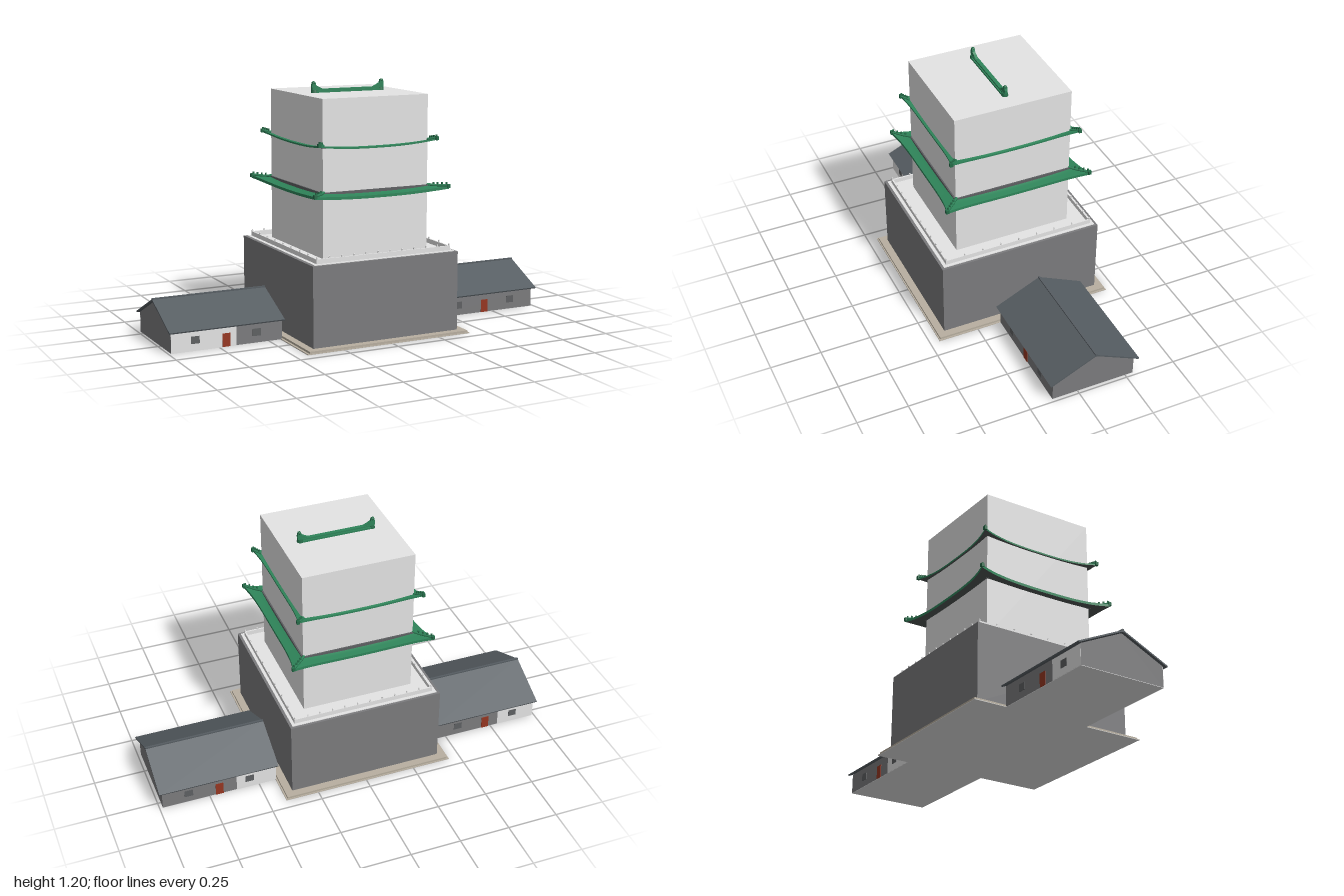
import * as THREE from 'three';
import { mergeGeometries } from 'three/addons/utils/BufferGeometryUtils.js';

const mat = (name, color, side = THREE.FrontSide) => {
  const m = new THREE.MeshStandardMaterial({ color, side });
  m.name = name;
  return m;
};

export function createModel() {
  const root = new THREE.Group();
  root.name = 'gateTower';
  const stone = mat('grey stone', 0x7b7b7d);
  const pale = mat('pale plaster', 0xe4e4e4);
  const beige = mat('beige paving', 0xb8afa0);
  const slate = mat('slate roof', 0x565d62);
  const green = mat('green glaze', 0x2f855a, THREE.DoubleSide);
  const darkGreen = mat('dark green glaze', 0x256b48);
  const under = mat('dark eave underside', 0x505654, THREE.DoubleSide);
  const red = mat('red door', 0x963620);
  const glass = mat('window grey', 0x5e6062);

  const add = (parent, name, geo, material) => {
    const m = new THREE.Mesh(geo, material);
    m.name = name;
    parent.add(m);
    return m;
  };
  // box given by its minimum and maximum corners
  const boxGeo = (x0, x1, y0, y1, z0, z1) =>
    new THREE.BoxGeometry(x1 - x0, y1 - y0, z1 - z0).translate((x0 + x1) / 2, (y0 + y1) / 2, (z0 + z1) / 2);
  const box = (parent, name, material, ...c) => add(parent, name, boxGeo(...c), material);

  // Plinth and masonry base
  box(root, 'foundation', pale, -0.441, 0.415, 0, 0.002, -0.453, 0.453);
  box(root, 'lowerPaving', beige, -0.441, 0.415, 0.002, 0.005, -0.453, 0.453);
  box(root, 'plinth', beige, -0.43, 0.407, 0.005, 0.015, -0.447, 0.447);
  box(root, 'base', stone, -0.394, 0.37, 0.015, 0.4, -0.41, 0.41);

  // Terrace with parapet and posts
  const X0 = -0.363, X1 = 0.343, Z = 0.382, T = 0.008;
  box(root, 'terraceFloor', pale, X0 - 0.018, X1 + 0.015, 0.4, 0.403, -Z - 0.016, Z + 0.016);
  const rail = [
    boxGeo(X0, X1, 0.403, 0.425, Z - T, Z), boxGeo(X0, X1, 0.403, 0.425, -Z, -Z + T),
    boxGeo(X0, X0 + T, 0.403, 0.425, -Z + T, Z - T), boxGeo(X1 - T, X1, 0.403, 0.425, -Z + T, Z - T),
  ];
  add(root, 'parapet', mergeGeometries(rail), pale);
  const posts = [];
  const post = (x, z) => posts.push(
    boxGeo(x - 0.003, x + 0.003, 0.403, 0.431, z - 0.003, z + 0.003),
    new THREE.SphereGeometry(0.004, 6, 4).translate(x, 0.433, z));
  for (let i = 0; i <= 11; i++) {
    const x = X0 + T / 2 + (X1 - X0 - T) * i / 11;
    post(x, Z - T / 2);
    post(x, -Z + T / 2);
  }
  for (let i = 1; i < 8; i++) {
    const z = (Z - T / 2) * (i / 4 - 1);
    post(X0 + T / 2, z);
    post(X1 - T / 2, z);
  }
  add(root, 'parapetPosts', mergeGeometries(posts), pale);

  // Tower block
  const HX = 0.276, HZ = 0.294;
  const tower = new THREE.Group();
  tower.name = 'tower';
  tower.position.x = -0.012;
  root.add(tower);
  box(tower, 'towerBlock', pale, -HX, HX, 0.4, 1.148, -HZ, HZ);

  // Skirt roof: four curved sides that lift and spread toward the corners
  const skirt = (name, o) => {
    const group = new THREE.Group();
    group.name = name;
    tower.add(group);
    // t runs along the side, s from wall to eave
    const point = (side, t, s, drop = 0) => {
      const along = side % 2 ? HZ : HX, out = side % 2 ? HX : HZ;
      const e = Math.abs(t) ** 2.6;
      const over = o.mid + (o.corner - o.mid) * Math.abs(t) ** 4;
      const a = t * (along + s * o.corner), b = out - 0.004 * (1 - s) + s * over;
      const y = o.wallY + (o.eaveY - o.wallY) * Math.sqrt(s) + o.lift * e * (0.35 + 0.65 * s) - drop;
      return new THREE.Vector3(a, y, b).applyAxisAngle(new THREE.Vector3(0, 1, 0), side * Math.PI / 2);
    };
    const patch = (f, nu, nv) => {
      const pos = [], idx = [];
      for (let i = 0; i <= nu; i++)
        for (let j = 0; j <= nv; j++) pos.push(...f(i / nu * 2 - 1, j / nv).toArray());
      for (let i = 0; i < nu; i++)
        for (let j = 0; j < nv; j++) {
          const a = i * (nv + 1) + j, b = a + nv + 1;
          idx.push(a, a + 1, b, b, a + 1, b + 1);
        }
      const g = new THREE.BufferGeometry();
      g.setAttribute('position', new THREE.Float32BufferAttribute(pos, 3));
      g.setIndex(idx);
      g.computeVertexNormals();
      return g;
    };
    const four = f => mergeGeometries([0, 1, 2, 3].map(f));
    add(group, 'tiles', four(k => patch((t, s) => point(k, t, s), 24, 4)), green);
    add(group, 'eaveEdge', four(k => patch((t, s) => point(k, t, 1, s * o.thick), 24, 1)), green);
    add(group, 'eaveUnderside', four(k => patch((t, s) => point(k, t, s, o.thick), 24, 4)), under);

    // hip ridges and corner ornaments
    const hips = [], beads = [];
    for (let k = 0; k < 4; k++) {
      const curve = new THREE.CatmullRomCurve3([0, 0.35, 0.7, 1].map(s => point(k, 1, s, -0.003)));
      hips.push(new THREE.TubeGeometry(curve, 8, 0.007, 6));
      for (let i = 0; i < 4; i++) {
        const p = point(k, 1, 0.3 + i * 0.2);
        beads.push(new THREE.BoxGeometry(0.007, 0.012, 0.007).translate(p.x, p.y + 0.012, p.z));
      }
      const tip = point(k, 1, 0.97);
      beads.push(new THREE.BoxGeometry(0.015, 0.018, 0.015).translate(tip.x, tip.y, tip.z));
    }
    add(group, 'hipRidges', mergeGeometries(hips), green);
    add(group, 'cornerOrnaments', mergeGeometries(beads), darkGreen);
  };
  skirt('lowerRoof', { wallY: 0.706, eaveY: 0.694, lift: 0.018, mid: 0.05, corner: 0.076, thick: 0.013 });
  skirt('upperRoof', { wallY: 0.922, eaveY: 0.917, lift: 0.022, mid: 0.012, corner: 0.034, thick: 0.008 });
  // band of wall tiles above the lower roof
  box(tower, 'wallFlashing', glass, -HX - 0.007, HX + 0.007, 0.696, 0.715, -HZ - 0.007, HZ + 0.007);

  // Top ridge with upturned ends
  box(tower, 'topRidge', green, -0.17, 0.17, 1.148, 1.157, -0.015, 0.015);
  box(tower, 'topRidgeCap', green, -0.17, 0.17, 1.157, 1.165, -0.009, 0.009);
  const fin = new THREE.Shape([[0.13, 1.148], [0.19, 1.148], [0.193, 1.18], [0.188, 1.2], [0.175, 1.198],
    [0.171, 1.184], [0.158, 1.176], [0.13, 1.163]].map(p => new THREE.Vector2(...p)));
  for (const turn of [0, Math.PI]) {
    const end = new THREE.Group();
    end.name = 'ridgeEnd';
    end.rotation.y = turn;
    tower.add(end);
    add(end, 'ridgeFin', new THREE.ExtrudeGeometry(fin, { depth: 0.014, bevelEnabled: false }).translate(0, 0, -0.007), green);
    add(end, 'ridgeKnob', new THREE.SphereGeometry(0.009, 10, 8).translate(0.182, 1.194, 0), darkGreen);
    add(end, 'ridgeFoot', new THREE.CylinderGeometry(0.014, 0.017, 0.014, 12).translate(0.178, 1.155, 0), darkGreen);
  }

  // Side houses: gabled body, pitched roof, doors and windows on both long walls
  const house = (name, h) => {
    const g = new THREE.Group();
    g.name = name;
    root.add(g);
    const w = h.half - 0.018;
    const gable = new THREE.Shape([[-w, 0.002], [w, 0.002], [w, 0.1], [0, 0.2], [-w, 0.1]].map(p => new THREE.Vector2(...p)));
    add(g, 'houseBody', new THREE.ExtrudeGeometry(gable, { depth: h.w1 - h.w0, bevelEnabled: false })
      .rotateY(Math.PI / 2).translate(h.w0, 0, h.z), stone);
    box(g, 'houseFloor', pale, h.w0, h.w1, 0, 0.002, h.z - w, h.z + w);
    const rise = 0.108, len = Math.hypot(h.half, rise), tilt = Math.atan2(rise, h.half);
    for (const s of [-1, 1]) {
      const slab = add(g, 'roofSlope', new THREE.BoxGeometry(h.r1 - h.r0, 0.007, len), slate);
      slab.rotation.x = s * tilt;
      slab.position.set((h.r0 + h.r1) / 2, 0.099 + rise / 2, h.z + s * h.half / 2);
      const plate = (part, m, x0, x1, y0, y1, d) => {
        const a = h.z + s * w, b = a + s * d;
        box(g, part, m, x0, x1, y0, y1, Math.min(a, b), Math.max(a, b));
      };
      const plaster = s > 0 ? h.frontPlaster : h.backPlaster;
      if (plaster) plate('plasterPanel', pale, h.w0, h.w0 + plaster, 0.002, 0.098, 0.001);
      plate('door', red, h.door - 0.019, h.door + 0.019, 0.002, 0.066, 0.003);
      for (const dx of [-0.153, 0.153])
        plate('window', glass, h.door + dx - 0.021, h.door + dx + 0.021, 0.035, 0.07, 0.003);
    }
    box(g, 'houseRidge', slate, h.r0, h.r1, 0.2, 0.215, h.z - 0.005, h.z + 0.005);
  };
  house('westHouse', { r0: -1, r1: -0.427, w0: -0.988, w1: -0.434, z: -0.07, half: 0.235, door: -0.717,
    frontPlaster: 0.322, backPlaster: 0.2 });
  house('eastHouse', { r0: 0.404, r1: 1, w0: 0.413, w1: 0.984, z: -0.08, half: 0.228, door: 0.7,
    frontPlaster: 0, backPlaster: 0.2 });
  return root;
}
